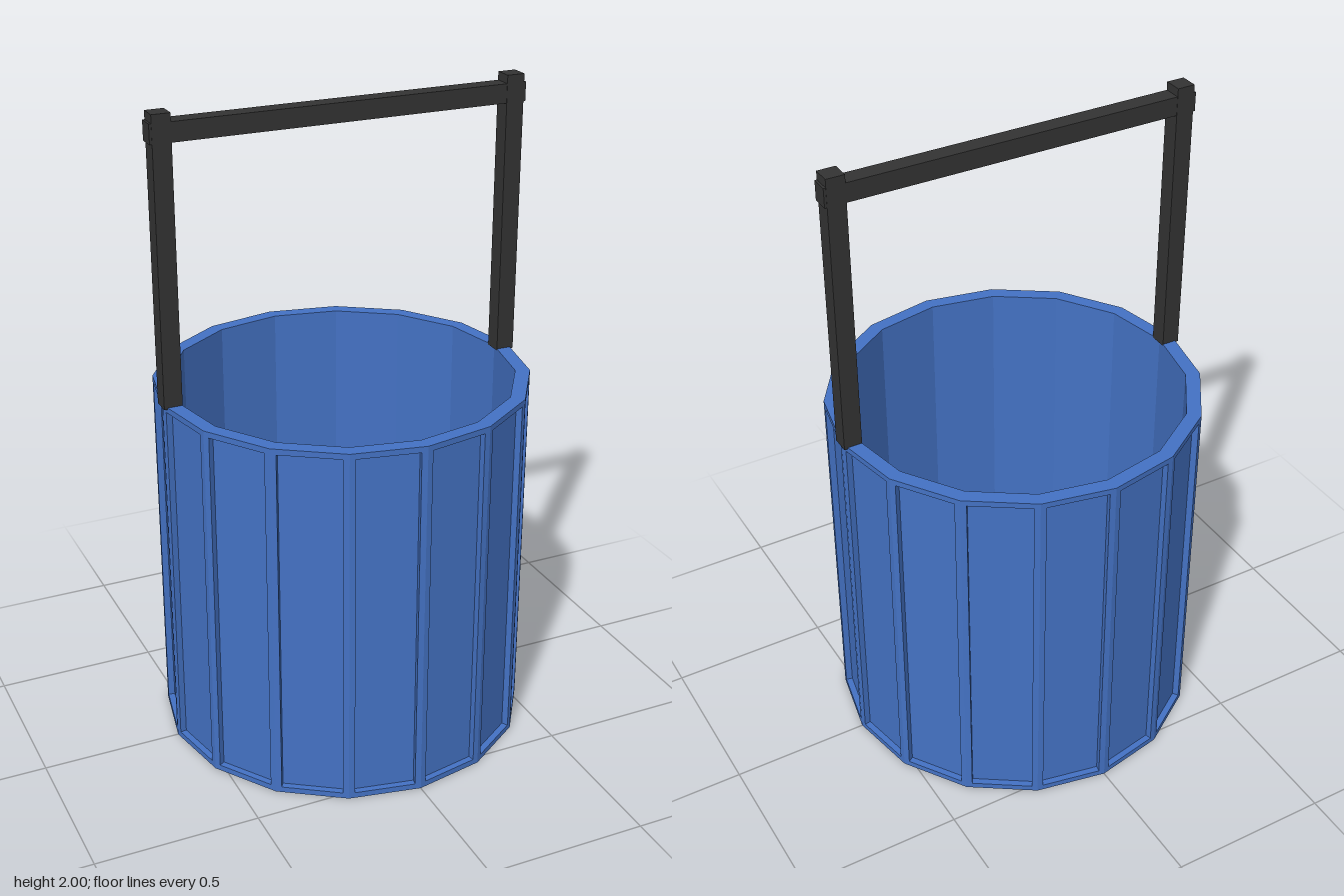
import * as THREE from 'three';

const SIDES = 16, R = 0.57, INNER = 0.525, H = 1.14, FLOOR = 0.04;
const MARGIN = 0.018, RECESS = 0.02;

// One flat stave: a raised border around a recessed panel, centred on z = 0 facing +z
function staveGeometry() {
  const half = R * Math.sin(Math.PI / SIDES);
  const ring = (inset, z) => {
    const w = half - inset;
    return [[-w, inset, z], [w, inset, z], [w, H - inset, z], [-w, H - inset, z]];
  };
  const rings = [ring(0, 0), ring(MARGIN, 0), ring(MARGIN, -RECESS)];
  const pos = [];
  const quad = (a, b, c, d) => pos.push(...a, ...b, ...c, ...a, ...c, ...d);
  for (let k = 0; k < 2; k++) {
    for (let i = 0; i < 4; i++) {
      const j = (i + 1) % 4;
      quad(rings[k][i], rings[k][j], rings[k + 1][j], rings[k + 1][i]);
    }
  }
  quad(...rings[2]);
  const geo = new THREE.BufferGeometry();
  geo.setAttribute('position', new THREE.Float32BufferAttribute(pos, 3));
  geo.computeVertexNormals();
  return geo;
}

export function createModel() {
  const model = new THREE.Group();
  model.name = 'bucket';
  const blue = new THREE.MeshStandardMaterial({ color: 0x4472c4, flatShading: true });
  const black = new THREE.MeshStandardMaterial({ color: 0x333333, flatShading: true });

  const add = (name, geo, mat, parent = model) => {
    const mesh = new THREE.Mesh(geo, mat);
    mesh.name = name;
    parent.add(mesh);
    return mesh;
  };
  const lathe = (points) =>
    new THREE.LatheGeometry(points.map(([x, y]) => new THREE.Vector2(x, y)), SIDES);

  // Outer wall of panelled staves
  const wall = new THREE.Group();
  wall.name = 'outerWall';
  model.add(wall);
  const stave = staveGeometry();
  const apothem = R * Math.cos(Math.PI / SIDES);
  for (let i = 0; i < SIDES; i++) {
    const a = ((i + 0.5) / SIDES) * Math.PI * 2;
    const mesh = add('stave', stave, blue, wall);
    mesh.position.set(Math.sin(a) * apothem, 0, Math.cos(a) * apothem);
    mesh.rotation.y = a;
  }

  // Underside, then rim, inner wall and floor
  add('underside', lathe([[0, 0], [R, 0]]), blue);
  add('rimAndInside', lathe([[R, H], [INNER, H], [INNER, FLOOR], [0, FLOOR]]), blue);

  // Handle: two square posts and a crossbar
  const handle = new THREE.Group();
  handle.name = 'handle';
  model.add(handle);
  for (const side of [-1, 1]) {
    const post = add(side > 0 ? 'leftPost' : 'rightPost',
      new THREE.BoxGeometry(0.056, 2 - 1.135, 0.056), black, handle);
    post.position.set(side * 0.547, (2 + 1.135) / 2, 0);
  }
  const bar = add('crossbar', new THREE.BoxGeometry(1.164, 0.058, 0.054), black, handle);
  bar.position.set(0, 1.946, 0);

  return model;
}
